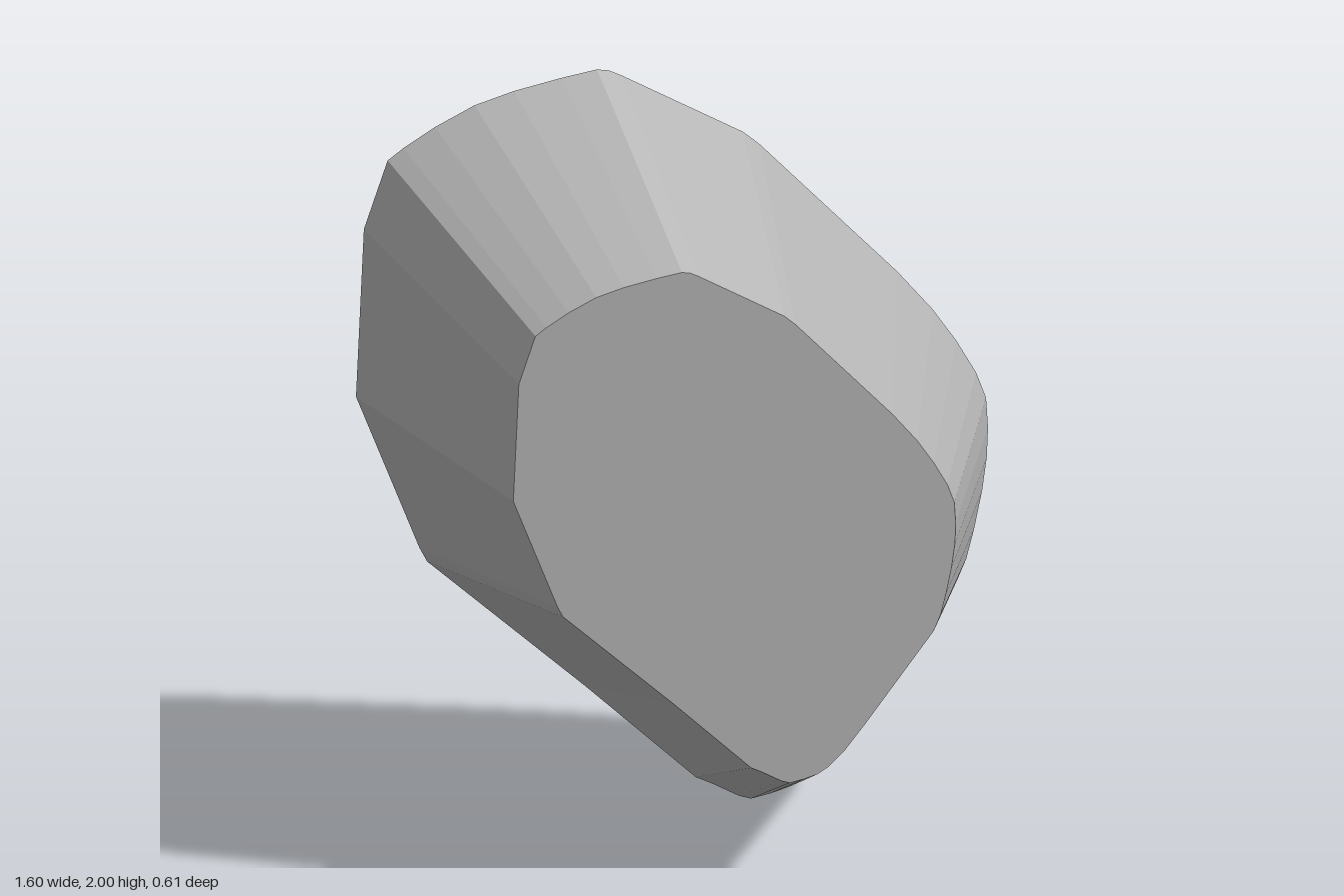
import * as THREE from 'three';

// Irregular stone outline at the wide back, counter-clockwise from the bottom
const OUTLINE = [
  [0.2, 0], [0.25, 0.01], [0.3, 0.025], [0.34, 0.05], [0.4, 0.11], [0.47, 0.2],
  [0.72, 0.54], [0.745, 0.6], [0.765, 0.68], [0.785, 0.78], [0.797, 0.87],
  [0.8, 0.95], [0.795, 1.03], [0.77, 1.1], [0.72, 1.19], [0.66, 1.28],
  [0.57, 1.39], [0.22, 1.765], [0.18, 1.8], [-0.13, 1.98], [-0.16, 1.995],
  [-0.19, 2], [-0.28, 1.985], [-0.4, 1.96], [-0.5, 1.93], [-0.6, 1.88],
  [-0.68, 1.83], [-0.72, 1.8], [-0.78, 1.62], [-0.8, 1.17], [-0.64, 0.75],
  [-0.62, 0.71], [-0.22, 0.34], [0.06, 0.07], [0.1, 0.05], [0.17, 0.01],
];
const DEPTH = 0.61;
const TAPER = 0.7; // front outline relative to the back
const SHIFT = 0.033; // sideways offset of the front outline

export function createModel() {
  const group = new THREE.Group();
  group.name = 'taperedStone';

  const stone = new THREE.MeshStandardMaterial({ color: 0xb4b4b4, flatShading: true });
  stone.name = 'stone grey';

  const shape = new THREE.Shape(OUTLINE.map(([x, y]) => new THREE.Vector2(x, y)));
  const geometry = new THREE.ExtrudeGeometry(shape, { depth: DEPTH, bevelEnabled: false });
  geometry.translate(0, 0, -DEPTH / 2);

  // Narrow the front face to make sloping sides
  const pos = geometry.attributes.position;
  for (let i = 0; i < pos.count; i++) {
    if (pos.getZ(i) > 0) {
      pos.setX(i, pos.getX(i) * TAPER + SHIFT);
      pos.setY(i, 1 + (pos.getY(i) - 1) * TAPER);
    }
  }
  geometry.computeVertexNormals();

  const body = new THREE.Mesh(geometry, stone);
  body.name = 'stoneBody';
  group.add(body);
  return group;
}
